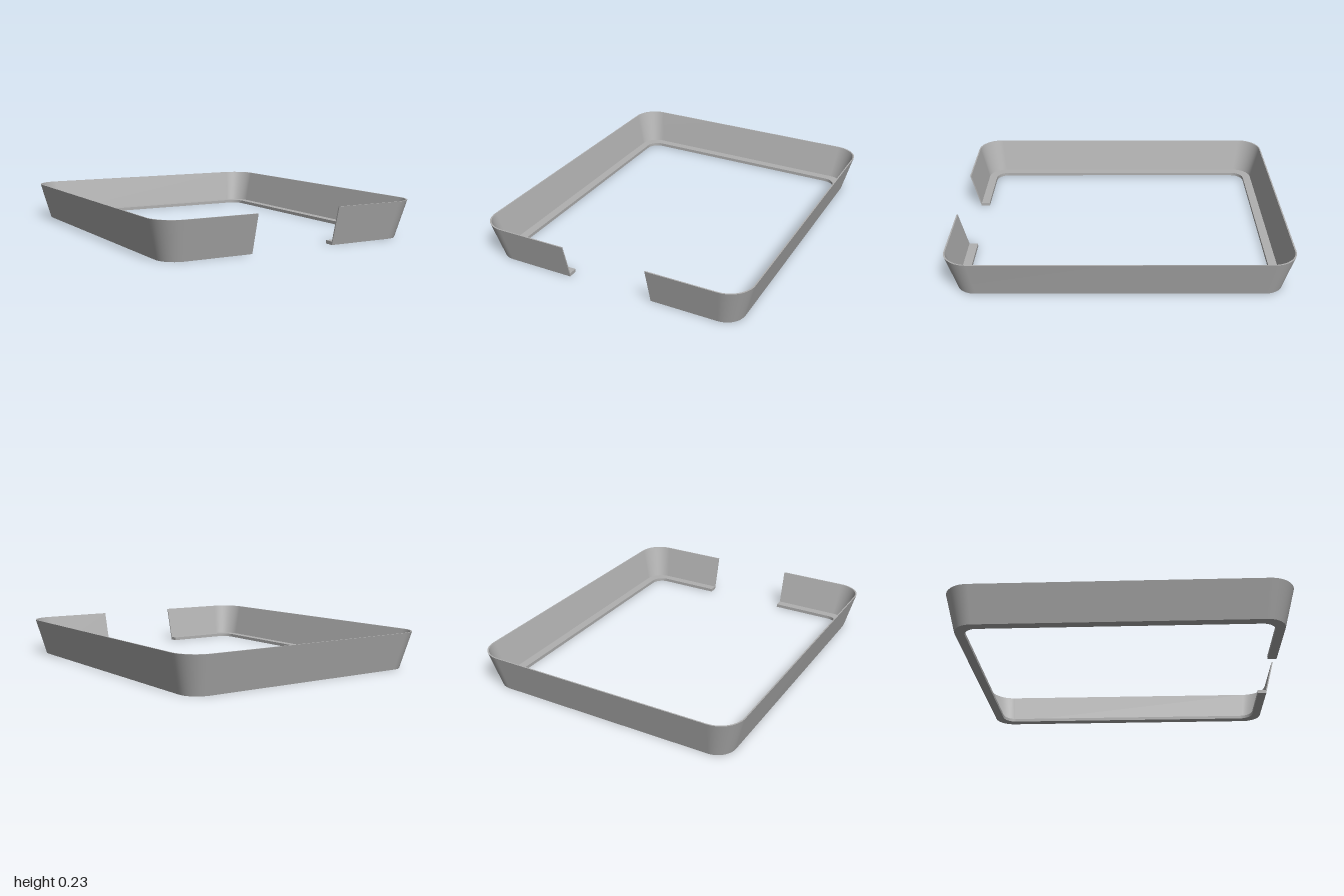
import * as THREE from 'three';

const GAP = 0.265;      // half width of the opening at the front
const STEPS = 10;       // segments per rounded corner

// Cross-section as [offset outward from the lip's inner edge, height]
const PROFILE = [
  [0.055, 0], [0.115, 0.227], [0.107, 0.227], [0.053, 0.02], [0, 0.02], [0, 0],
];

// Open rounded rectangle running from one side of the gap round to the other
function loopAt([d, y]) {
  const hx = 0.73 + d, hz = 0.885 + d, r = 0.08 + 0.6 * d;
  const pts = [[GAP, y, hz]];
  [[1, 1], [1, -1], [-1, -1], [-1, 1]].forEach(([sx, sz], c) => {
    for (let i = 0; i <= STEPS; i++) {
      const a = Math.PI / 2 * (1 - c - i / STEPS);
      pts.push([sx * (hx - r) + r * Math.cos(a), y, sz * (hz - r) + r * Math.sin(a)]);
    }
  });
  pts.push([-GAP, y, hz]);
  return pts;
}

function makeGeometry(positions, index) {
  const g = new THREE.BufferGeometry();
  g.setAttribute('position', new THREE.Float32BufferAttribute(positions.flat(), 3));
  g.setIndex(index);
  g.computeVertexNormals();
  return g;
}

// One face of the cross-section swept along the loop, smooth round the corners
function strip(a, b) {
  const n = a.length, index = [];
  for (let s = 0; s < n - 1; s++) index.push(s, s + 1, n + s + 1, s, n + s + 1, n + s);
  return makeGeometry([...a, ...b], index);
}

// Flat L-shaped end beside the gap
function cap(points, flip) {
  const index = [5, 0, 3, 5, 3, 4, 0, 1, 2, 0, 2, 3];
  return makeGeometry(points, flip ? index.reverse() : index);
}

export function createModel() {
  const group = new THREE.Group();
  group.name = 'openTrayRim';
  const grey = new THREE.MeshStandardMaterial({ color: 0xb0b0b0 });
  grey.name = 'grey';
  const add = (geometry, name) => {
    const mesh = new THREE.Mesh(geometry, grey);
    mesh.name = name;
    group.add(mesh);
  };

  // Sloping wall and the flat lip at its foot
  const names = ['outerWall', 'topRim', 'innerWall', 'lipTop', 'lipEdge', 'underside'];
  const loops = PROFILE.map(loopAt);
  names.forEach((name, i) => add(strip(loops[i], loops[(i + 1) % loops.length]), name));

  // Ends at the front opening
  add(cap(loops.map((l) => l[0]), false), 'leftEnd');
  add(cap(loops.map((l) => l[l.length - 1]), true), 'rightEnd');
  return group;
}
